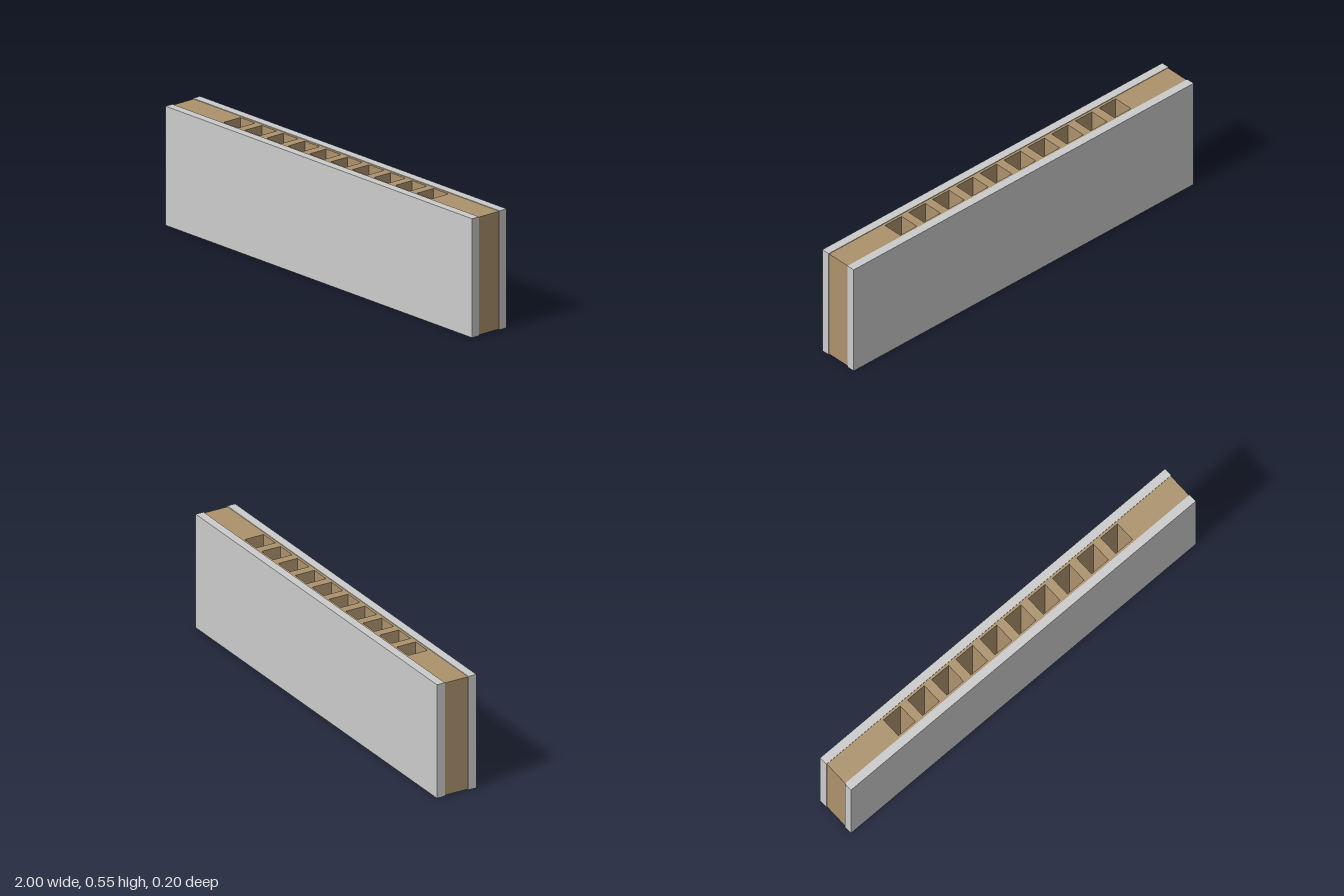
import * as THREE from 'three';

const LENGTH = 2, HEIGHT = 0.545, DEPTH = 0.2;
const PANEL = 0.04;                 // face panel thickness
const INSET = 0.003;                // core sits just inside the panel edges
const POCKETS = 10, PITCH = 0.14, POCKET = 0.097;
const FLOOR = 0.05;                 // solid base under the pockets

export function createModel() {
  const group = new THREE.Group();
  const grey = new THREE.MeshStandardMaterial({ color: 0xcccccc });
  const brown = new THREE.MeshStandardMaterial({ color: 0xac926d });

  const add = (name, geometry, material, y, z = 0) => {
    const mesh = new THREE.Mesh(geometry, material);
    mesh.name = name;
    mesh.position.set(0, y, z);
    group.add(mesh);
  };

  // Front and back face panels
  for (const [name, side] of [['frontPanel', 1], ['backPanel', -1]]) {
    add(name, new THREE.BoxGeometry(LENGTH, HEIGHT, PANEL), grey,
      HEIGHT / 2, side * (DEPTH - PANEL) / 2);
  }

  const rectangle = (path, x, w, h) => path
    .moveTo(x - w / 2, -h / 2).lineTo(x + w / 2, -h / 2)
    .lineTo(x + w / 2, h / 2).lineTo(x - w / 2, h / 2).closePath();

  // Core plan with a row of square pockets
  const coreLength = LENGTH - 2 * INSET, coreDepth = DEPTH - 2 * PANEL;
  const plan = new THREE.Shape();
  rectangle(plan, 0, coreLength, coreDepth);
  for (let i = 0; i < POCKETS; i++) {
    const hole = new THREE.Path();
    rectangle(hole, (i - (POCKETS - 1) / 2) * PITCH, POCKET, POCKET);
    plan.holes.push(hole);
  }
  const core = new THREE.ExtrudeGeometry(plan, {
    depth: HEIGHT - 2 * INSET - FLOOR, bevelEnabled: false,
  }).rotateX(-Math.PI / 2);
  add('pocketedCore', core, brown, INSET + FLOOR);

  // Solid base closing the pockets
  add('coreBase', new THREE.BoxGeometry(coreLength, FLOOR, coreDepth), brown, INSET + FLOOR / 2);

  return group;
}
